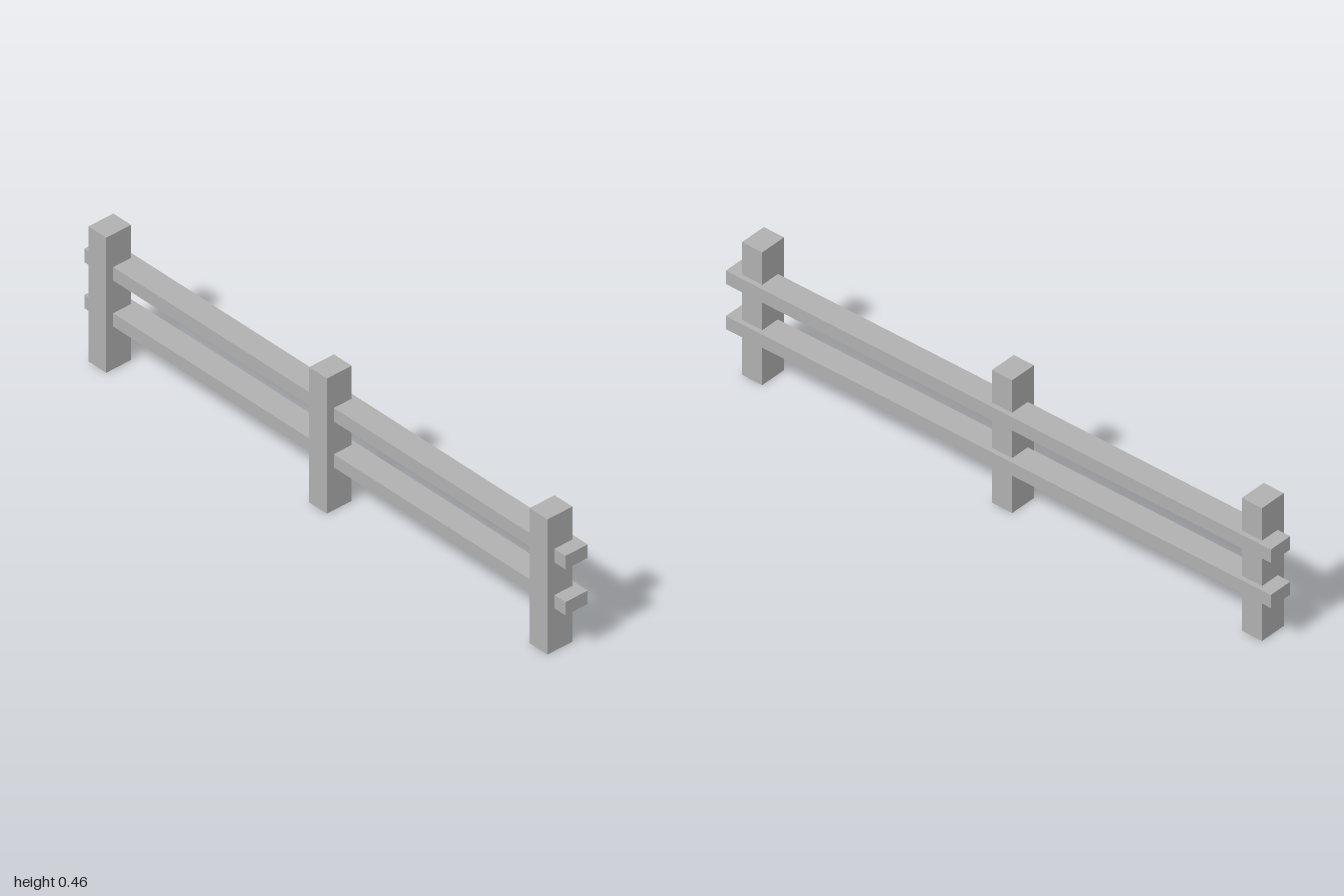
import * as THREE from 'three';

export function createModel() {
  const model = new THREE.Group();
  model.name = 'fence';

  const grey = new THREE.MeshStandardMaterial({ color: 0xb0b0b0 });
  grey.name = 'grey';

  // Box spanning the given y and z ranges, centred on x
  function addBeam(name, x, width, [y0, y1], [z0, z1]) {
    const mesh = new THREE.Mesh(new THREE.BoxGeometry(width, y1 - y0, z1 - z0), grey);
    mesh.name = name;
    mesh.position.set(x, (y0 + y1) / 2, (z0 + z1) / 2);
    model.add(mesh);
  }

  // Upright posts
  const posts = { rightPost: -0.917, middlePost: 0, leftPost: 0.917 };
  for (const [name, x] of Object.entries(posts)) {
    addBeam(name, x, 0.074, [0, 0.459], [-0.038, 0.055]);
  }

  // Long rails, set into the back of the posts
  const rails = { lowerRail: [0.145, 0.19], upperRail: [0.301, 0.347] };
  for (const [name, span] of Object.entries(rails)) {
    addBeam(name, 0, 2, span, [-0.054, 0.029]);
  }

  return model;
}
